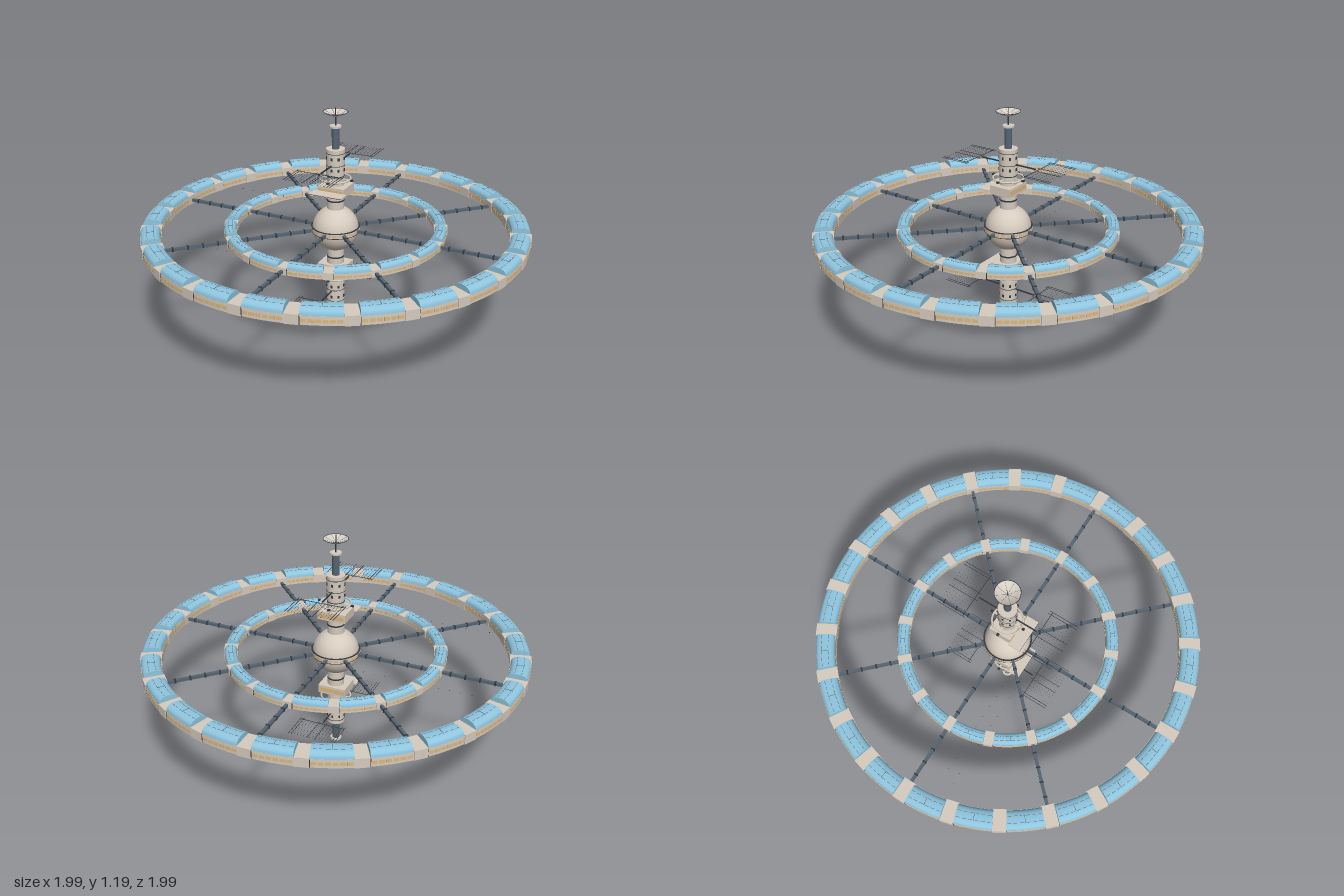
import * as THREE from 'three';
import { mergeGeometries, toCreasedNormals } from 'three/addons/utils/BufferGeometryUtils.js';

const MID = 0.55; // height of the wheel plane
const TAU = Math.PI * 2;
const paint = (name, color, side = THREE.FrontSide) => {
  const m = new THREE.MeshStandardMaterial({ color, side });
  m.name = name;
  return m;
};
const V = (x, y) => new THREE.Vector2(x, y);
const box = (w, h, d, x = 0, y = 0, z = 0) => new THREE.BoxGeometry(w, h, d).translate(x, y, z);
const cyl = (r, y0, y1, n = 24) =>
  new THREE.CylinderGeometry(r, r, y1 - y0, n).translate(0, (y0 + y1) / 2, 0);

export function createModel() {
  const hull = paint('hull beige', 0xd6cbbe);
  const glass = paint('blue glass', 0x8fc5de, THREE.DoubleSide);
  const dark = paint('dark trim', 0x343a41);
  const steel = paint('blue steel', 0x566572);
  const amber = paint('amber windows', 0xdcb880);
  const dishPaint = paint('dish beige', 0xd6cec2, THREE.DoubleSide);

  const model = new THREE.Group();
  const add = (name, geometries, material, parent = model) => {
    const list = [].concat(geometries).map(g => (g.index ? g.toNonIndexed() : g));
    const mesh = new THREE.Mesh(list.length > 1 ? mergeGeometries(list) : list[0], material);
    mesh.name = name;
    parent.add(mesh);
    return mesh;
  };

  // Habitat ring: rectangular base, domed glass bays, low bulkheads between them
  function habitatRing(name, rIn, rOut, y0, y1, yTop, bays, gap) {
    const ring = new THREE.Group();
    ring.name = name;
    model.add(ring);
    const w = rOut - rIn, rc = (rIn + rOut) / 2, h = yTop - y1, step = TAU / bays;
    const base = [V(rOut, y0), V(rOut, y1), V(rIn, y1), V(rIn, y0), V(rOut, y0)];
    add('ringBase', toCreasedNormals(new THREE.LatheGeometry(base, bays * 6), 0.6), hull, ring);

    // Softly rounded dome section
    const dome = [];
    for (let i = 0; i <= 12; i++) {
      const t = (i / 12) * Math.PI, c = Math.cos(t);
      dome.push(V(rc + Math.sign(c) * Math.abs(c) ** 0.8 * w * 0.49, y1 + h * Math.sin(t) ** 0.8));
    }
    const capAt = a => new THREE.ShapeGeometry(new THREE.Shape(dome)).rotateY(a - Math.PI / 2);
    const bayParts = [], bulkheads = [], ribs = [], lights = [], seams = [];
    const half = gap / 2 / rc;
    for (let i = 0; i < bays; i++) {
      const a = i * step, from = a + half, len = step - 2 * half;
      bayParts.push(new THREE.LatheGeometry(dome, 6, from, len), capAt(from), capAt(from + len));
      bulkheads.push(box(gap, y1 - y0 + 0.006, w + 0.008, 0, (y0 + y1) / 2 + 0.003, rc).rotateY(a));
      // Fine glazing bars, one across and two along each bay
      ribs.push(box(0.002, 0.002, w * 0.4, 0, yTop, rc).rotateY(from + len / 2));
      for (const k of [-0.17, 0.17])
        for (let j = 0; j < 6; j++)
          ribs.push(box(len * rc / 9, 0.002, 0.002, 0, yTop - 0.05 * h, rc + k * w)
            .rotateY(from + len * (j + 0.5) / 6));
      // Rows of windows and seams on both walls
      for (const r of [rIn, rOut]) {
        for (let k = 0; k < 6; k++)
          lights.push(box(len * r / 7.5, (y1 - y0) * 0.4, 0.003, 0, (y0 + y1) / 2, r)
            .rotateY(from + len * (k + 0.5) / 6));
        seams.push(box(0.003, y1 - y0, 0.003, 0, (y0 + y1) / 2, r).rotateY(from));
      }
    }
    add('glassBays', bayParts, glass, ring);
    add('bulkheads', bulkheads, hull, ring);
    add('glazingBars', ribs, steel, ring);
    add('wallWindows', lights, amber, ring);
    add('wallSeams', seams, dark, ring);
  }
  habitatRing('outerRing', 0.892, 0.992, 0.53, 0.573, 0.606, 24, 0.066);
  habitatRing('innerRing', 0.511, 0.573, 0.533, 0.563, 0.59, 16, 0.048);

  // Eight spokes with small collars
  const beams = [], collars = [];
  for (let i = 0; i < 8; i++) {
    const a = i * TAU / 8;
    beams.push(box(0.015, 0.015, 0.8, 0, MID, 0.5).rotateY(a));
    for (let k = 0; k < 10; k++)
      collars.push(box(0.019, 0.019, 0.008, 0, MID, 0.17 + k * 0.075).rotateY(a));
  }
  add('spokes', beams, steel);
  add('spokeCollars', collars, dark);

  // Hub sphere with a raised equator belt
  add('hubSphere', new THREE.SphereGeometry(0.12, 40, 24).translate(0, MID, 0), hull);
  add('hubBelt', cyl(0.126, MID - 0.013, MID + 0.013, 48), hull);
  add('hubBands', [-0.013, 0.013].map(y => cyl(0.127, MID + y - 0.0015, MID + y + 0.0015, 48)), dark);
  const hubLights = [];
  for (let i = 0; i < 24; i++)
    hubLights.push(box(0.022, 0.012, 0.003, 0, MID, 0.1255).rotateY((i + 0.5) * TAU / 24));
  add('hubWindows', hubLights, amber);

  // Upper and lower halves of the spindle; Y measures away from the wheel
  for (const s of [1, -1]) {
    const half = new THREE.Group();
    half.name = s > 0 ? 'upperSpindle' : 'lowerSpindle';
    model.add(half);
    const Y = d => MID + s * d;
    const tube = (r, d0, d1) => cyl(r, Math.min(Y(d0), Y(d1)), Math.max(Y(d0), Y(d1)));

    add('column', [tube(0.044, 0.1, 0.3), tube(0.048, 0.3, 0.43)], hull, half);
    add('columnBands', [tube(0.0455, 0.153, 0.161), tube(0.0455, 0.286, 0.29),
      tube(0.0487, 0.345, 0.348), tube(0.0487, 0.408, 0.411)], dark, half);
    const ports = [];
    for (const d of [0.325, 0.385])
      for (let i = 0; i < 8; i++) ports.push(box(0.01, 0.015, 0.003, 0, Y(d), 0.0478).rotateY(i * TAU / 8));
    add('columnWindows', ports, dark, half);
    add('mast', tube(0.019, 0.43, 0.54), steel, half);
    add('mastFlange', tube(0.03, 0.54, 0.549), hull, half);

    // Docking block with its front landing pad
    add('dockingBlock', box(0.15, 0.046, 0.12, 0, Y(0.217), 0), hull, half);
    add('dockWindows', [-1, 1].map(z => box(0.136, 0.024, 0.004, 0, Y(0.217), z * 0.06)), amber, half);
    add('landingPad', box(0.18, 0.007, 0.066, 0, MID + s * 0.217 - 0.004, 0.093), hull, half);
    add('padEdge', box(0.18, 0.002, 0.002, 0, MID + s * 0.217 - 0.004, 0.126), dark, half);

    // Collar ring with cross arms and dark tips
    const tips = [];
    for (let i = 0; i < 4; i++) tips.push(box(0.012, 0.008, 0.014, 0, Y(0.272), 0.09).rotateY(i * TAU / 4));
    add('collarRing', [
      new THREE.TorusGeometry(0.078, 0.005, 8, 32).rotateX(Math.PI / 2).translate(0, Y(0.272), 0),
      box(0.17, 0.006, 0.01, 0, Y(0.272), 0), box(0.01, 0.006, 0.17, 0, Y(0.272), 0),
    ], hull, half);
    add('collarTips', tips, dark, half);

    // Open solar arrays fore and aft
    const frame = [box(0.006, 0.006, 0.33, 0, Y(0.35), 0)], cells = [];
    for (const z of [-1, 1]) {
      frame.push(box(0.25, 0.002, 0.003, 0, Y(0.35), z * 0.18));
      for (const x of [-0.125, -0.11, -0.02, 0.02, 0.11, 0.125])
        frame.push(box(0.002, 0.002, 0.16, x, Y(0.35), z * 0.245));
      for (let i = 0; i < 14; i++)
        for (let k = 0; k < 9; k++)
          cells.push(box(0.003, 0.003, 0.001, (i - 6.5) * 0.017, Y(0.35), z * (0.19 + k * 0.016)));
    }
    add('arrayFrame', frame, dark, half);
    add('arrayCells', cells, dark, half);

    // Line of approach beacons
    const beacons = [];
    for (let i = 0; i < 12; i++)
      beacons.push(box(0.003, 0.003, 0.003, -0.1 - i * 0.06, Y(0.19), 0.15));
    add('approachBeacons', beacons, dark, half);
  }

  // Dish on top of the mast
  const bowl = [V(0.001, 1.145), V(0.02, 1.149), V(0.042, 1.158), V(0.062, 1.17)];
  add('dish', new THREE.LatheGeometry(bowl, 24), dishPaint);
  add('dishRim', new THREE.TorusGeometry(0.062, 0.0015, 6, 24).rotateX(Math.PI / 2).translate(0, 1.17, 0), dark);
  add('dishRod', [cyl(0.004, 1.09, 1.15, 8), cyl(0.002, 1.15, 1.19, 6)], dark);
  const dishRibs = [];
  for (let i = 0; i < 8; i++)
    dishRibs.push(box(0.001, 0.001, 0.06, 0, 0, 0.032).rotateX(-0.38).translate(0, 1.147, 0).rotateY(i * TAU / 8));
  add('dishRibs', dishRibs, steel);

  return model;
}
